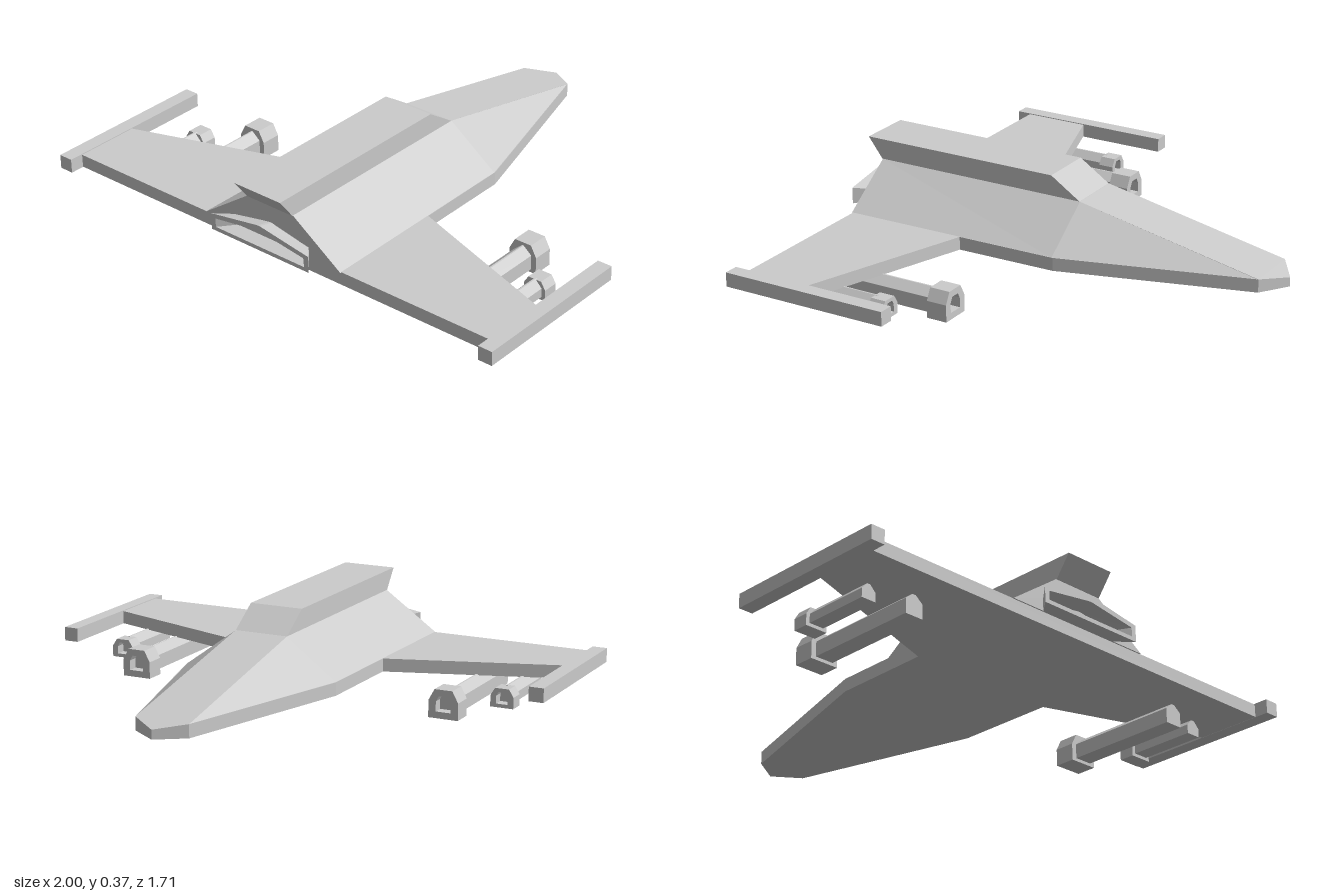
import * as THREE from 'three';

const material = new THREE.MeshStandardMaterial({ color: 0xcccccc, flatShading: true });

function mesh(name, geometry) {
  const m = new THREE.Mesh(geometry, material);
  m.name = name;
  return m;
}

// Skin a run of equal-length sections { z, pts }, points counter-clockwise seen from +z
function loft(sections) {
  const pos = [];
  const n = sections[0].pts.length;
  const put = (s, j) => pos.push(s.pts[j % n][0], s.pts[j % n][1], s.z);
  for (let i = 0; i < sections.length - 1; i++) {
    const p = sections[i], q = sections[i + 1];
    for (let j = 0; j < n; j++) {
      put(p, j); put(p, j + 1); put(q, j + 1);
      put(p, j); put(q, j + 1); put(q, j);
    }
  }
  const first = sections[0], last = sections[sections.length - 1];
  for (let j = 1; j < n - 1; j++) {
    put(first, 0); put(first, j + 1); put(first, j);
    put(last, 0); put(last, j); put(last, j + 1);
  }
  const g = new THREE.BufferGeometry();
  g.setAttribute('position', new THREE.Float32BufferAttribute(pos, 3));
  g.computeVertexNormals();
  return g;
}

// Section with a flat base, upright sides and a roof narrowing to half width t
const house = (x, w, t, bottom, shoulder, top) => [
  [x - w, bottom], [x + w, bottom], [x + w, shoulder],
  [x + t, top], [x - t, top], [x - w, shoulder],
];

const extrude = (points, depth) => new THREE.ExtrudeGeometry(
  new THREE.Shape(points.map(([a, b]) => new THREE.Vector2(a, b))),
  { depth, bevelEnabled: false });

// Flat base plate: nose, body and wings in one outline, the nose tip dipping
function basePlate() {
  const half = [[0.105, -0.785], [0.305, -0.07], [0.31, 0.32], [0.945, 0.535], [0.945, 0.79]];
  const outline = [[0, -0.857], ...half, ...half.map(([x, z]) => [-x, z]).reverse()];
  const g = extrude(outline.map(([x, z]) => [x, -z]).reverse(), 0.05);
  g.rotateX(-Math.PI / 2).translate(0, 0.092, 0);
  const p = g.attributes.position;
  for (let i = 0; i < p.count; i++) {
    if (p.getZ(i) < -0.8 && p.getY(i) > 0.12) p.setY(i, 0.127);
  }
  g.computeVertexNormals();
  return g;
}

// Sloping upper hull
function upperHull() {
  const section = (z, base, top) => ({
    z, pts: [[-base, 0.141], [base, 0.141], [0.105, top], [-0.105, top]],
  });
  return loft([section(-0.785, 0.105, 0.142), section(-0.065, 0.305, 0.287), section(0.795, 0.315, 0.287)]);
}

// Raised spine with raked ends
function spine() {
  const g = extrude([[-0.065, 0.286], [0.797, 0.286], [0.857, 0.365], [0.055, 0.365]], 0.21);
  return g.rotateY(-Math.PI / 2).translate(0.105, 0, 0);
}

// Flared exhaust with a sunken mouth
function exhaust() {
  return loft([
    { z: 0.785, pts: house(0, 0.165, 0.005, 0.142, 0.185, 0.217) },
    { z: 0.855, pts: house(0, 0.225, 0.005, 0.135, 0.198, 0.234) },
    { z: 0.855, pts: house(0, 0.205, 0.005, 0.15, 0.184, 0.213) },
    { z: 0.8, pts: house(0, 0.15, 0.005, 0.155, 0.172, 0.195) },
  ]);
}

// Under-wing gun: hollow chamfered muzzle and ridged barrel
function gun(name, x, s) {
  const g = new THREE.Group();
  g.name = name;
  const outer = house(x, s.w, s.w * 0.6, s.bottom, s.shoulder, s.top);
  const mid = (s.bottom + s.top) / 2, h = s.w * 0.5;
  const bore = house(x, h, h * 0.6, mid - h, mid + h * 0.3, mid + h);
  g.add(mesh('muzzle', loft([
    { z: s.z0 + 0.04, pts: bore }, { z: s.z0, pts: bore },
    { z: s.z0, pts: outer }, { z: s.z1, pts: outer },
  ])));
  const tube = house(x, s.barrel, 0.003, s.bottom + 0.012, 0.068, 0.096);
  g.add(mesh('barrel', loft([{ z: s.z1 - 0.01, pts: tube }, { z: s.z2, pts: tube }])));
  return g;
}

export function createModel() {
  const model = new THREE.Group();
  model.name = 'spacecraft';
  model.add(
    mesh('basePlate', basePlate()),
    mesh('upperHull', upperHull()),
    mesh('spine', spine()),
    mesh('exhaust', exhaust()),
  );
  const large = { w: 0.058, bottom: 0, shoulder: 0.065, top: 0.108, z0: 0.125, z1: 0.205, z2: 0.655, barrel: 0.037 };
  const small = { w: 0.045, bottom: 0.022, shoulder: 0.065, top: 0.094, z0: 0.29, z1: 0.35, z2: 0.61, barrel: 0.03 };
  for (const [side, sx] of [['left', 1], ['right', -1]]) {
    // Wing-tip rail
    const rail = new THREE.BoxGeometry(0.057, 0.054, 0.66).translate(sx * 0.9715, 0.118, 0.515);
    model.add(
      mesh(side + 'WingTipRail', rail),
      gun(side + 'LargeGun', sx * 0.64, large),
      gun(side + 'SmallGun', sx * 0.8, small),
    );
  }
  return model;
}
